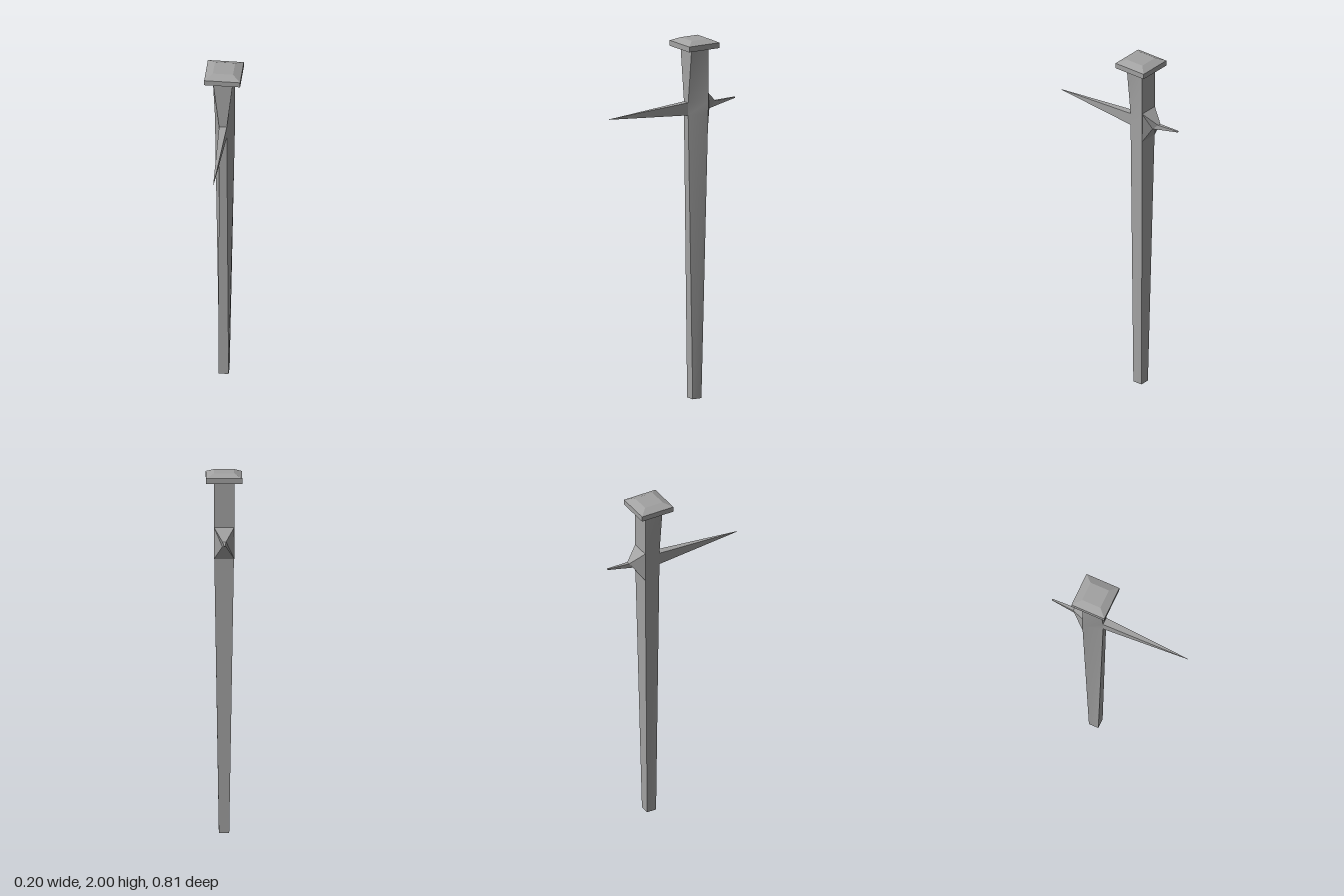
import * as THREE from 'three';
import { toCreasedNormals } from 'three/addons/utils/BufferGeometryUtils.js';

const iron = new THREE.MeshStandardMaterial({ color: 0xa2a2a2 });

// Hard-edged solid through four-cornered rings, counter-clockwise seen from the end of the loft
function loft(name, rings) {
  const pos = [];
  const quad = (a, b, c, d) => pos.push(...a, ...b, ...c, ...a, ...c, ...d);
  for (let k = 0; k < rings.length - 1; k++) {
    for (let i = 0; i < 4; i++) {
      const j = (i + 1) % 4;
      quad(rings[k][i], rings[k][j], rings[k + 1][j], rings[k + 1][i]);
    }
  }
  const first = rings[0], last = rings[rings.length - 1];
  quad(first[3], first[2], first[1], first[0]);
  quad(...last);
  const geometry = new THREE.BufferGeometry();
  geometry.setAttribute('position', new THREE.Float32BufferAttribute(pos, 3));
  // Only the slight twist of the shaft sides is smoothed
  const mesh = new THREE.Mesh(toCreasedNormals(geometry, 0.35), iron);
  mesh.name = name;
  return mesh;
}

// Horizontal ring: front and back half widths, front and back depths
const level = (y, wf, wb, zf, zb) => [[-wf, y, zf], [wf, y, zf], [wb, y, zb], [-wb, y, zb]];

// Upright ring for spikes; side = 1 points forward, -1 points back
const upright = (side, w, yLo, yHi, zLo, zHi = zLo) =>
  [[-side * w, yLo, zLo], [side * w, yLo, zLo], [side * w, yHi, zHi], [-side * w, yHi, zHi]];

export function createModel() {
  const group = new THREE.Group();
  group.name = 'spikedStake';

  // Tapering shaft, pinched on its front where the long spike grows out
  group.add(loft('shaft', [
    level(0, 0.028, 0.028, -0.117, -0.173),
    level(1.58, 0.021, 0.054, -0.092, -0.2),
    level(1.65, 0.021, 0.055, -0.092, -0.2),
    level(1.95, 0.055, 0.055, -0.092, -0.2),
  ]));

  // Square head with bevelled top
  group.add(loft('head', [
    level(1.95, 0.098, 0.098, -0.049, -0.245),
    level(1.98, 0.098, 0.098, -0.049, -0.245),
    level(2, 0.055, 0.055, -0.092, -0.201),
  ]));

  // Long front spike
  group.add(loft('frontSpike', [
    upright(1, 0.021, 1.58, 1.65, -0.092),
    upright(1, 0.001, 1.614, 1.616, 0.405),
  ]));

  // Short back spike with a flared base
  group.add(loft('backSpike', [
    upright(-1, 0.055, 1.525, 1.7, -0.199),
    upright(-1, 0.01, 1.6, 1.636, -0.236, -0.275),
    upright(-1, 0.004, 1.635, 1.641, -0.405),
  ]));

  return group;
}
